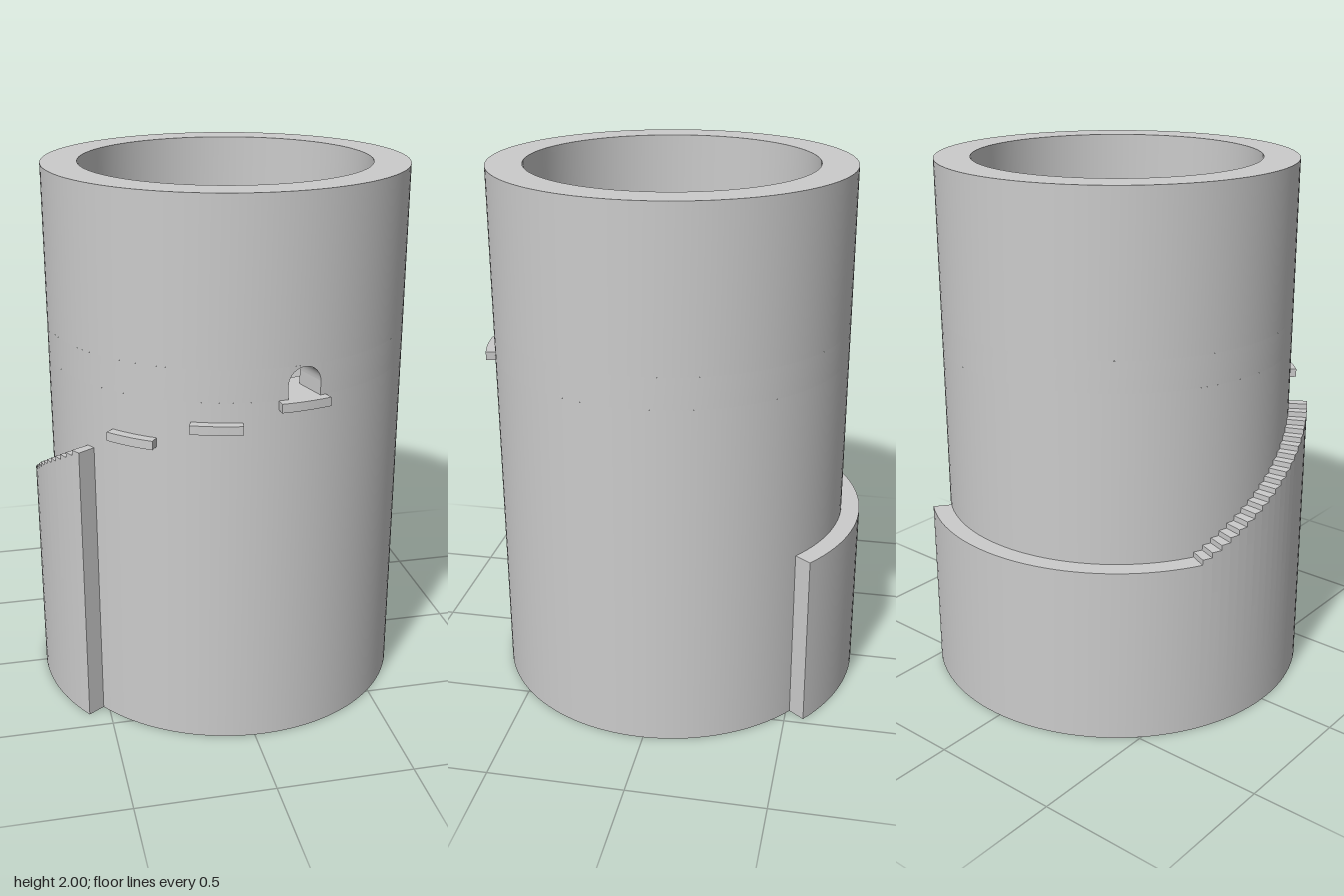
import * as THREE from 'three';
import { toCreasedNormals } from 'three/addons/utils/BufferGeometryUtils.js';

const R_IN = 0.533, R_OUT = 0.665;   // tower wall
const FLOOR = 1.305, LINTEL = 1.42;  // doorway levels
const DOOR = 79, HALF = 5.2;         // doorway angle and half width, degrees
const INNER = 0, TOP = 1, OUTER = 2, BOTTOM = 3;

// Sweeps a rectangular section round the tower axis.
// stations: [degrees, bottom, top]; a repeated angle makes a riser.
function sweep(stations, r0, r1, sides = [INNER, TOP, OUTER, BOTTOM], caps = true) {
  const pos = [];
  const section = ([deg, y0, y1]) => {
    const a = THREE.MathUtils.degToRad(deg), c = Math.cos(a), s = Math.sin(a);
    return [[r0, y0], [r0, y1], [r1, y1], [r1, y0]].map(([r, y]) => [r * c, y, r * s]);
  };
  const quad = (a, b, c, d) => pos.push(...a, ...b, ...c, ...a, ...c, ...d);
  const loops = stations.map(section);
  for (let i = 0; i + 1 < loops.length; i++) {
    const A = loops[i], B = loops[i + 1];
    const riser = stations[i][0] === stations[i + 1][0];
    for (const k of sides) {
      if (riser && k !== TOP) continue;
      const n = (k + 1) % 4;
      quad(A[k], B[k], B[n], A[n]);
    }
  }
  if (caps) {
    const [a, b, c, d] = loops[0], [e, f, g, h] = loops[loops.length - 1];
    quad(a, b, c, d);
    quad(h, g, f, e);
  }
  const geo = new THREE.BufferGeometry();
  geo.setAttribute('position', new THREE.Float32BufferAttribute(pos, 3));
  return toCreasedNormals(geo, Math.PI / 6);
}

// Evenly spaced stations of constant height
function arc(a0, a1, y0, y1, step = 3) {
  const n = Math.max(1, Math.round((a1 - a0) / step));
  return Array.from({ length: n + 1 }, (_, i) => [a0 + (a1 - a0) * i / n, y0, y1]);
}

export function createModel() {
  const model = new THREE.Group();
  model.name = 'tower';
  const material = new THREE.MeshStandardMaterial({ color: 0xcccccc });
  const add = (name, geo, parent = model) => {
    const mesh = new THREE.Mesh(geo, material);
    mesh.name = name;
    parent.add(mesh);
  };

  // Tower wall: ring below the door, band beside it, ring above
  const d0 = DOOR - HALF, d1 = DOOR + HALF;
  add('lowerWall', sweep(arc(d0, d0 + 360, 0, FLOOR), R_IN, R_OUT, [INNER, OUTER, BOTTOM], false));
  add('doorBand', sweep(arc(d1, d0 + 360, FLOOR, LINTEL), R_IN, R_OUT, [INNER, OUTER]));
  add('upperWall', sweep(arc(d0, d0 + 360, LINTEL, 2), R_IN, R_OUT, [INNER, TOP, OUTER], false));

  // Doorway: sill and round arch
  const doorway = new THREE.Group();
  doorway.name = 'doorway';
  model.add(doorway);
  add('doorSill', sweep(arc(d0, d1, 0, FLOOR), R_IN, R_OUT, [TOP], false), doorway);
  const arch = Array.from({ length: 17 }, (_, i) => {
    const t = Math.PI * i / 16;
    return [DOOR - HALF * Math.cos(t), FLOOR + 0.05 + 0.06 * Math.sin(t), LINTEL];
  });
  add('doorArch', sweep(arch, R_IN, R_OUT, [INNER, OUTER, BOTTOM], false), doorway);

  // Inner platform behind the door
  add('innerPlatform', sweep(arc(30, 87.5, 0, FLOOR), R_IN - 0.067, R_IN, [INNER, TOP, BOTTOM]));

  // Outer ramp: twenty descending stairs, then a level ledge
  const ramp = [], STEPS = 20, START = 146.3;
  for (let i = 0; i < STEPS; i++) {
    const y = 1.07 - 0.02 * i;
    ramp.push([START + 3 * i, 0, y], [START + 3 * (i + 1), 0, y]);
  }
  ramp.push(...arc(START + 3 * STEPS, 307, 0, 0.67));
  add('stairsAndLedge', sweep(ramp, R_OUT, 0.735, [TOP, OUTER, BOTTOM]));

  // Separate steps leading up to the door
  [123, 97.5, 72].forEach((a, i) => {
    const top = FLOOR - 0.07 * (2 - i);
    add('floatingStep' + (i + 1), sweep(arc(a, a + 15, top - 0.032, top), R_OUT - 0.01, 0.7));
  });

  model.position.set(0.033, 0, 0.0175);
  const root = new THREE.Group();
  root.name = 'stairTower';
  root.add(model);
  return root;
}
